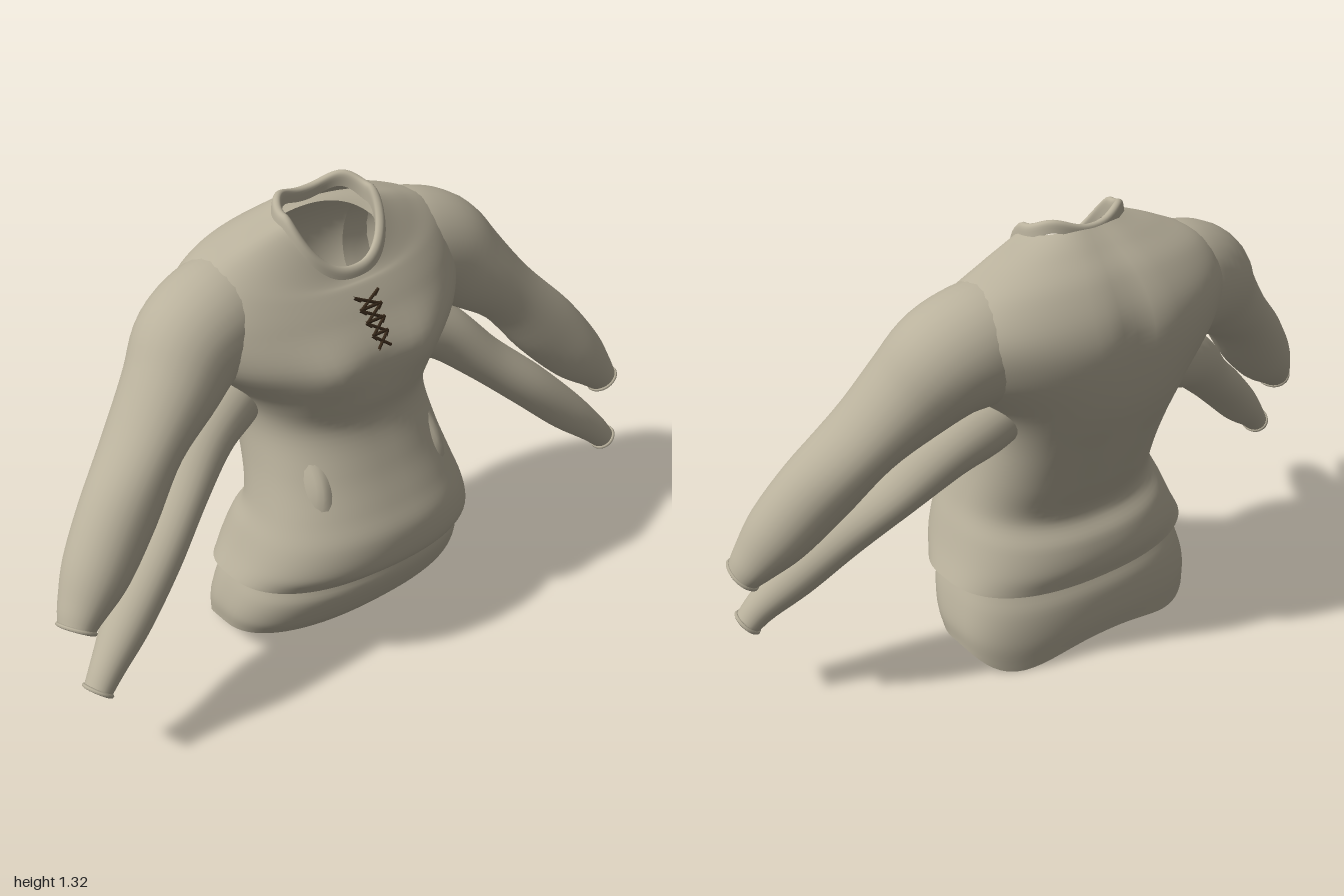
import * as THREE from 'three';

const linen = new THREE.MeshStandardMaterial({ color: 0xb9b19c, side: THREE.DoubleSide });
linen.name = 'linen';
const cord = new THREE.MeshStandardMaterial({ color: 0x38291a, side: THREE.DoubleSide });
cord.name = 'dark cord';

const gauss = (d, w) => Math.exp(-((d / w) ** 2));

// Smoothly resample rows of up to six numbers
function resample(rows, n) {
  const curve = (k) => new THREE.CatmullRomCurve3(
    rows.map((r) => new THREE.Vector3(r[k] ?? 0, r[k + 1] ?? 0, r[k + 2] ?? 0)), false, 'catmullrom');
  const a = curve(0), b = curve(3);
  return Array.from({ length: n + 1 }, (_, i) => [...a.getPoint(i / n).toArray(), ...b.getPoint(i / n).toArray()]);
}

// Skin a list of closed rings
function skin(rings) {
  const m = rings[0].length, index = [];
  for (let i = 0; i < rings.length - 1; i++) {
    for (let j = 0; j < m; j++) {
      const a = i * m + j, b = i * m + (j + 1) % m;
      index.push(a, a + m, b, b, a + m, b + m);
    }
  }
  const g = new THREE.BufferGeometry().setFromPoints(rings.flat());
  g.setIndex(index);
  g.computeVertexNormals();
  return g;
}

function add(parent, name, geometry, material = linen) {
  const mesh = new THREE.Mesh(geometry, material);
  mesh.name = name;
  parent.add(mesh);
}

// Body rows: front y, side y, back y, half width, front z, back z
function body(rows, n, { ripple = 0, fade = 10, fold = 0, muscle = 0 } = {}) {
  const M = 72;
  return skin(resample(rows, n).map(([yF, yS, yB, hw, zf, zb], i) => {
    const ring = [], mid = (zf + zb) / 2, half = (zf - zb) / 2;
    for (let j = 0; j < M; j++) {
      const t = (j / M) * Math.PI * 2, c = Math.cos(t), s = Math.sin(t);
      const x = hw * Math.sign(c) * Math.abs(c) ** 0.88;
      // the seat at the back is squarer than the rest
      const power = s < 0 ? 0.88 - 0.25 * gauss(yS - 0.1, 0.3) : 0.88;
      let z = mid + half * Math.sign(s) * Math.abs(s) ** power;
      let y = yS + ((s > 0 ? yF : yB) - yS) * Math.abs(s) ** 1.3;
      if (s < 0) {
        y += ripple * Math.sin(2 * t) ** 2 * (1 - i / n) ** fade;
        z += muscle * 0.02 * gauss(x, 0.05) * gauss(y - 1.0, 0.3) * Math.abs(s); // spine groove
      } else {
        z += s * muscle * 0.02 * gauss(Math.abs(x) - 0.15, 0.09) * gauss(y - 0.91, 0.08); // chest
        z += s * fold * gauss(Math.abs(x) - 0.23, 0.05) * gauss(y - 0.59, 0.09); // waist folds
      }
      ring.push(new THREE.Vector3(x, y, z));
    }
    return ring;
  }));
}

// Sleeve rows: x, y, z, radius across, radius in depth
function sleeve(parent, name, rows, side) {
  const group = new THREE.Group();
  group.name = name;
  parent.add(group);
  const path = resample(rows, 40);
  const P = path.map((r) => new THREE.Vector3(r[0] * side, r[1], r[2]));
  const rings = path.map((r, i) => {
    const t = P[Math.min(i + 1, 40)].clone().sub(P[Math.max(i - 1, 0)]).normalize();
    const n = t.clone().cross(new THREE.Vector3(0, 0, 1)).normalize();
    const b = n.clone().cross(t);
    return Array.from({ length: 28 }, (_, j) => {
      const a = (j / 28) * Math.PI * 2;
      return P[i].clone().addScaledVector(n, r[3] * Math.cos(a)).addScaledVector(b, r[4] * Math.sin(a));
    });
  });
  add(group, 'sleeveCloth', skin(rings));
  // rolled cuff edge and dark lining set inside it
  add(group, 'cuffEdge', new THREE.TubeGeometry(new THREE.CatmullRomCurve3(rings[40], true), 36, 0.006, 6, true));
  const inner = (i, k) => rings[i].map((v) => v.clone().lerp(P[i], k));
  add(group, 'cuffLining', skin([inner(39, 0.12), inner(38, 0.2), inner(38, 0.98)]), cord);
}

export function createModel() {
  const model = new THREE.Group();
  model.name = 'layeredShirt';

  // Outer shirt from hem to neck
  const outer = [
    [0.27, 0.27, 0.24, 0.40, 0.285, -0.20],
    [0.33, 0.33, 0.30, 0.372, 0.338, -0.212],
    [0.42, 0.40, 0.37, 0.345, 0.338, -0.195],
    [0.50, 0.48, 0.44, 0.315, 0.30, -0.155],
    [0.60, 0.60, 0.55, 0.288, 0.25, -0.20],
    [0.72, 0.72, 0.70, 0.28, 0.205, -0.265],
    [0.82, 0.82, 0.85, 0.312, 0.222, -0.325],
    [0.94, 0.94, 1.00, 0.41, 0.222, -0.345],
    [1.04, 1.07, 1.10, 0.44, 0.168, -0.325],
    [1.10, 1.17, 1.19, 0.385, 0.128, -0.265],
    [1.115, 1.23, 1.25, 0.27, 0.113, -0.195],
    [1.125, 1.272, 1.295, 0.155, 0.103, -0.135],
  ];
  add(model, 'outerShirt', body(outer, 66, { muscle: 1 }));

  // Collar band folded over at the neck, highest behind the sides
  add(model, 'collar', body([
    [1.115, 1.262, 1.27, 0.16, 0.108, -0.14],
    [1.14, 1.292, 1.292, 0.155, 0.102, -0.135],
    [1.15, 1.3, 1.297, 0.143, 0.09, -0.124],
    [1.14, 1.29, 1.288, 0.133, 0.08, -0.114],
    [1.11, 1.25, 1.26, 0.133, 0.08, -0.114],
  ], 16, { ripple: 0.024, fade: 0 }));

  // Under shirt: longer hem, then tucked just inside the outer shirt
  const under = [
    [0.09, 0.075, 0.045, 0.395, 0.205, -0.205],
    [0.14, 0.13, 0.11, 0.397, 0.245, -0.212],
    [0.22, 0.20, 0.19, 0.382, 0.275, -0.203],
    [0.29, 0.28, 0.26, 0.355, 0.27, -0.175],
    ...outer.slice(2, 10).map(([a, b, c, w, f, k]) => [a, b, c, w - 0.025, f - 0.025, k + 0.025]),
    [1.08, 1.19, 1.23, 0.17, 0.05, -0.14],
  ];
  add(model, 'underShirt', body(under, 66, { ripple: -0.05, fold: 0.095 }));

  // Dark binding along the front of the under shirt's neckline
  const binding = Array.from({ length: 9 }, (_, i) => {
    const t = Math.PI * (0.2 + 0.6 * i / 8), s = Math.sin(t);
    return new THREE.Vector3(0.165 * Math.cos(t), 1.19 - 0.11 * s ** 1.3, -0.045 + 0.095 * s);
  });
  add(model, 'necklineBinding', new THREE.TubeGeometry(new THREE.CatmullRomCurve3(binding), 24, 0.005, 6), cord);

  // Both pairs of sleeves
  const outerSleeve = [
    [0.22, 1.06, -0.09, 0.15, 0.15],
    [0.33, 1.035, -0.08, 0.165, 0.16],
    [0.43, 1.00, -0.06, 0.155, 0.155],
    [0.52, 0.92, -0.025, 0.128, 0.138],
    [0.64, 0.81, 0.015, 0.097, 0.12],
    [0.76, 0.675, 0.065, 0.103, 0.107],
    [0.86, 0.56, 0.105, 0.09, 0.095],
    [0.925, 0.485, 0.13, 0.062, 0.072],
    [0.955, 0.445, 0.145, 0.045, 0.056],
  ];
  const underSleeve = [
    [0.20, 0.85, -0.08, 0.08, 0.09],
    [0.32, 0.79, -0.06, 0.095, 0.1],
    [0.43, 0.73, -0.03, 0.085, 0.1],
    [0.55, 0.62, 0.025, 0.07, 0.092],
    [0.68, 0.505, 0.09, 0.068, 0.085],
    [0.80, 0.39, 0.14, 0.062, 0.07],
    [0.89, 0.305, 0.175, 0.046, 0.05],
    [0.935, 0.255, 0.19, 0.036, 0.042],
  ];
  for (const [side, label] of [[1, 'left'], [-1, 'right']]) {
    sleeve(model, label + 'OuterSleeve', outerSleeve, side);
    sleeve(model, label + 'UnderSleeve', underSleeve, side);
  }

  // Crossed lacing on the chest, narrowing downwards
  const lacing = new THREE.Group();
  lacing.name = 'chestLacing';
  model.add(lacing);
  const onChest = (x, y) => new THREE.Vector3(x, y, 0.226 - (y - 0.95) * 0.64);
  const lace = (x1, y1, x2, y2) => add(lacing, 'lace',
    new THREE.TubeGeometry(new THREE.LineCurve3(onChest(x1, y1), onChest(x2, y2)), 1, 0.0045, 6), cord);
  for (let i = 0; i < 4; i++) {
    const y = 1.085 - i * 0.031, w = 0.042 - i * 0.005;
    for (const s of [1, -1]) {
      lace(s * w, y, -s * (w - 0.006), y - 0.034);
      lace(s * w, y, s * w * 0.55, y - 0.012);
    }
    if (i > 0) lace(-w, y, w, y);
  }
  return model;
}
